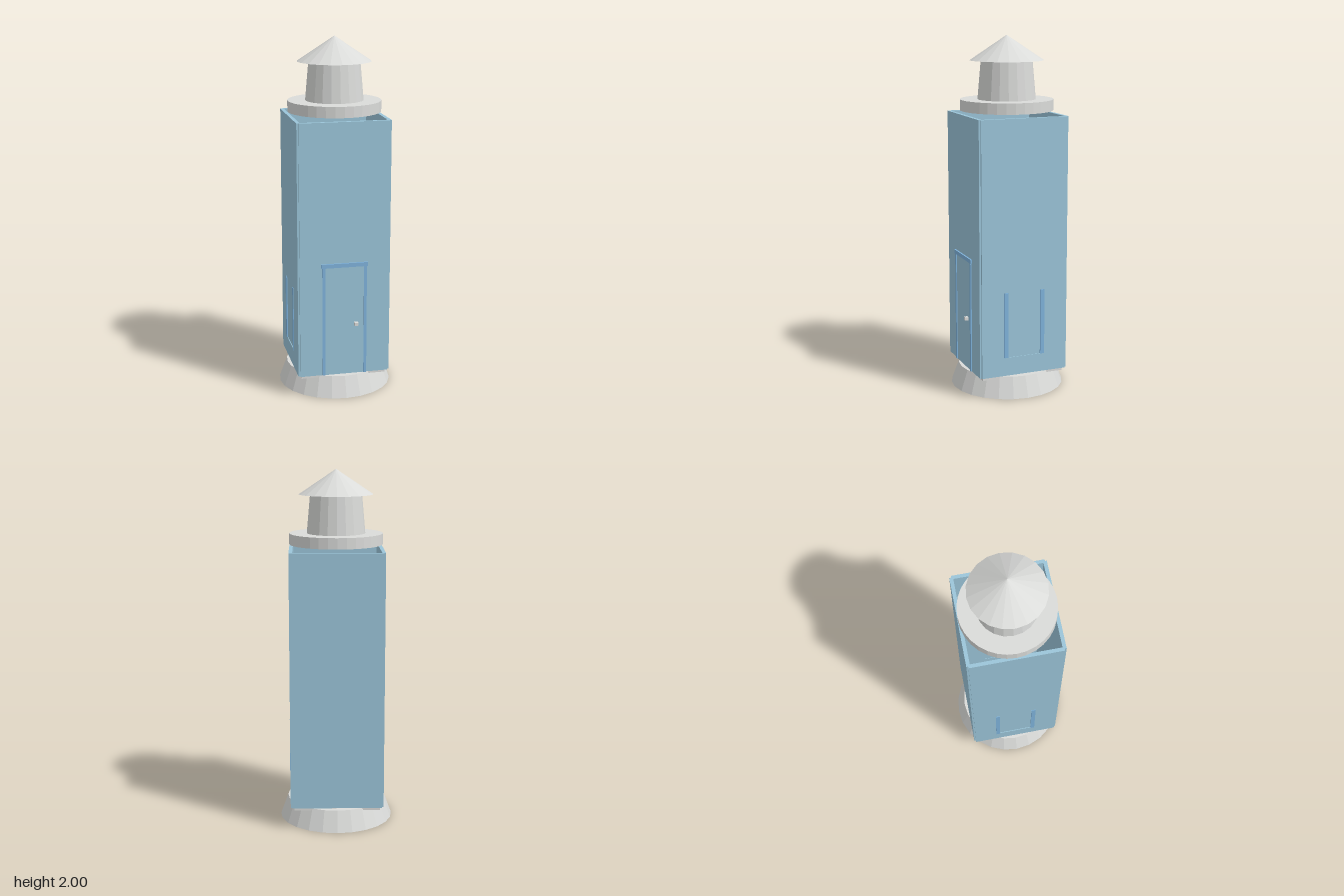
import * as THREE from 'three';

export function createModel() {
  const model = new THREE.Group();
  model.name = 'lighthouse';

  const stone = new THREE.MeshStandardMaterial({ color: 0xdadbd9, flatShading: true });
  stone.name = 'pale grey';
  const paint = new THREE.MeshStandardMaterial({ color: 0x9bc5d9, flatShading: true });
  paint.name = 'light blue';
  const trim = new THREE.MeshStandardMaterial({ color: 0x7fb3dc, flatShading: true });
  trim.name = 'trim blue';

  function add(name, geometry, material, x = 0, y = 0, z = 0, parent = model) {
    const mesh = new THREE.Mesh(geometry, material);
    mesh.name = name;
    mesh.position.set(x, y, z);
    parent.add(mesh);
    return mesh;
  }
  // Box and round parts are given by their bottom and top heights
  function box(name, material, x, z, w, d, y0, y1, parent = model) {
    return add(name, new THREE.BoxGeometry(w, y1 - y0, d), material, x, (y0 + y1) / 2, z, parent);
  }
  function round(name, rTop, rBottom, y0, y1, sides) {
    return add(name, new THREE.CylinderGeometry(rTop, rBottom, y1 - y0, sides), stone, 0, (y0 + y1) / 2, 0);
  }

  const OUT = 0.262, THICK = 0.02, HALF = 0.252, BOTTOM = 0.125, TOP = 1.567;

  // Foundation and floor
  round('foundation', 0.28, 0.323, 0, 0.117, 24);
  box('floor', stone, 0, 0, 0.484, 0.484, 0.105, 0.127);

  // Plain front and back walls
  for (const s of [1, -1]) {
    box(s > 0 ? 'frontWall' : 'backWall', paint, 0, s * (OUT - THICK / 2), HALF * 2, THICK, BOTTOM, TOP);
  }

  // Side walls, each with a shallow recessed panel between two strips
  const wallShape = new THREE.Shape();
  wallShape.moveTo(-HALF, BOTTOM).lineTo(HALF, BOTTOM).lineTo(HALF, TOP).lineTo(-HALF, TOP).closePath();
  const opening = new THREE.Path();
  opening.moveTo(-0.1, 0.23).lineTo(-0.1, 0.605).lineTo(0.1, 0.605).lineTo(0.1, 0.23).closePath();
  wallShape.holes.push(opening);
  const wallGeometry = new THREE.ExtrudeGeometry(wallShape, { depth: THICK, bevelEnabled: false });
  for (const s of [1, -1]) {
    const side = new THREE.Group();
    side.name = s > 0 ? 'leftSide' : 'rightSide';
    side.rotation.y = s * Math.PI / 2;
    add('sideWall', wallGeometry, paint, 0, 0, OUT - THICK, side);
    box('windowPanel', paint, 0, OUT - 0.011, 0.2, 0.014, 0.23, 0.605, side);
    for (const e of [1, -1]) {
      box('windowStrip', trim, e * 0.109, OUT, 0.024, 0.007, 0.23, 0.605, side);
    }
    model.add(side);
  }

  // Door with jambs, lintel and knob
  const door = new THREE.Group();
  door.name = 'door';
  model.add(door);
  box('doorPanel', paint, 0, OUT, 0.222, 0.004, BOTTOM, 0.757, door);
  for (const s of [1, -1]) box('doorJamb', trim, s * 0.118, 0.264, 0.016, 0.01, BOTTOM, 0.757, door);
  box('doorLintel', trim, 0, 0.265, 0.264, 0.012, 0.757, 0.78, door);
  box('doorKnob', stone, 0.066, 0.273, 0.022, 0.022, 0.414, 0.432, door);

  // Gallery, lantern room and conical roof
  round('gallery', 0.261, 0.261, 1.587, 1.648, 32);
  round('lanternRoom', 0.144, 0.163, 1.648, 1.862, 20);
  add('roof', new THREE.ConeGeometry(0.207, 0.138, 20), stone, 0, 1.931, 0);

  return model;
}
